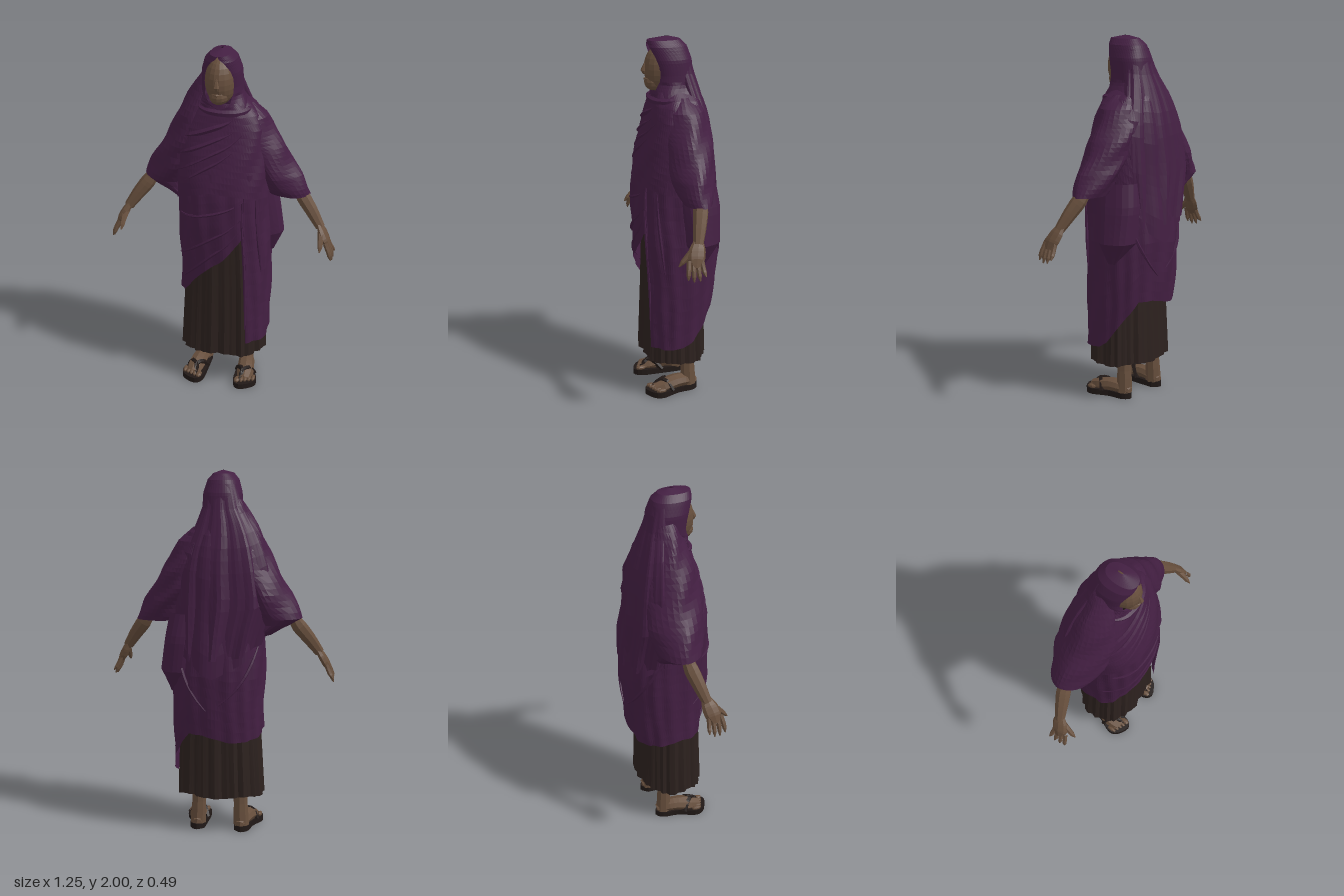
import * as THREE from 'three';

const mat = (name, color, side = THREE.FrontSide) => {
  const m = new THREE.MeshStandardMaterial({ color, side, flatShading: true });
  m.name = name;
  return m;
};

// Linear lookup in a table whose first column ascends
function lookup(rows, t) {
  if (t <= rows[0][0]) return rows[0].slice(1);
  for (let i = 1; i < rows.length; i++) {
    if (t <= rows[i][0]) {
      const a = rows[i - 1], b = rows[i], k = (t - a[0]) / (b[0] - a[0]);
      return a.slice(1).map((v, j) => v + (b[j + 1] - v) * k);
    }
  }
  return rows[rows.length - 1].slice(1);
}

// Point on a cloth profile; rows are [y, xMin, xMax, zFront, zBack], angle 0 = +x, 90 = front
function clothPoint(rows, y, deg, grow = 0, power = 0.85) {
  const [x0, x1, zf, zb] = lookup(rows, y), a = deg * Math.PI / 180;
  const p = (v) => Math.sign(v) * Math.abs(v) ** power;
  return new THREE.Vector3(
    (x0 + x1) / 2 + ((x1 - x0) / 2 + grow) * p(Math.cos(a)), y,
    (zf + zb) / 2 + ((zf - zb) / 2 + grow) * p(Math.sin(a)));
}

// Draped sheet: hem(deg) is its lower edge, fold(deg, y) pushes it outwards, gap(y) opens the front
function drape(rows, { top, hem, fold = () => 0, gap = () => 0, nu = 72, nv = 14, power }) {
  const pos = [], idx = [];
  for (let i = 0; i <= nv; i++) {
    for (let j = 0; j <= nu; j++) {
      const d0 = (j / nu) * 360, g = gap(top + (hem(d0) - top) * (i / nv));
      const deg = (90 + g + (j / nu) * (360 - 2 * g)) % 360;
      const y = top + (hem(deg) - top) * (i / nv);
      pos.push(...clothPoint(rows, y, deg, fold(deg, y), power).toArray());
      if (i < nv && j < nu) {
        const a = i * (nu + 1) + j, b = a + nu + 1;
        idx.push(a, a + 1, b, a + 1, b + 1, b);
      }
    }
  }
  const geo = new THREE.BufferGeometry();
  geo.setAttribute('position', new THREE.Float32BufferAttribute(pos, 3));
  geo.setIndex(idx);
  geo.computeVertexNormals();
  return geo;
}

// Tapered tube along points; scale flattens its section
function limb(pts, radii, { n = 10, sides = 8, scale = [1, 1, 1] } = {}) {
  const curve = new THREE.CatmullRomCurve3(pts.map((p) => new THREE.Vector3(...p)));
  const geo = new THREE.TubeGeometry(curve, n, 1, sides);
  const pos = geo.attributes.position, v = new THREE.Vector3(), s = new THREE.Vector3(...scale);
  for (let i = 0; i < pos.count; i++) {
    const t = Math.floor(i / (sides + 1)) / n, c = curve.getPointAt(t);
    const k = t * (radii.length - 1), r0 = Math.min(Math.floor(k), radii.length - 2);
    const r = radii[r0] + (radii[r0 + 1] - radii[r0]) * (k - r0);
    v.fromBufferAttribute(pos, i).sub(c).multiply(s).multiplyScalar(r).add(c);
    pos.setXYZ(i, v.x, v.y, v.z);
  }
  geo.computeVertexNormals();
  return geo;
}

export function createModel() {
  const model = new THREE.Group();
  model.name = 'robedWoman';
  const cloth = mat('purple cloth', 0x431f42, THREE.DoubleSide);
  const skirtMat = mat('dark skirt', 0x2c211e, THREE.DoubleSide);
  const skin = mat('skin', 0x664e3c);
  const leather = mat('sandal leather', 0x211917);
  const add = (name, geo, material, parent = model) => {
    const m = new THREE.Mesh(geo, material);
    m.name = name;
    parent.add(m);
    return m;
  };
  const wave = (deg, k, shift = 0) => Math.sin(deg * Math.PI / 180 * k + shift);

  // Skirt with uneven pleats
  const skirt = [[0.2, -0.236, 0.247, 0.195, -0.15], [0.6, -0.215, 0.235, 0.185, -0.14], [1.1, -0.19, 0.2, 0.17, -0.13]];
  add('skirt', drape(skirt, {
    top: 1.1, hem: (d) => 0.21 + 0.006 * wave(d, 5), nu: 112, nv: 6,
    fold: (d, y) => (0.005 * wave(d, 19) + 0.004 * wave(d, 31)) * (1.2 - y) + 0.004 * wave(d, 8),
  }), skirtMat);

  // Lower wrap with a diagonal front edge and a long panel on the left
  const body = [
    [0.3, -0.235, 0.262, 0.205, -0.15], [0.55, -0.235, 0.262, 0.21, -0.2], [0.7, -0.235, 0.262, 0.215, -0.215],
    [0.9, -0.24, 0.258, 0.228, -0.228], [1.05, -0.24, 0.25, 0.234, -0.222], [1.2, -0.24, 0.25, 0.228, -0.2],
    [1.3, -0.25, 0.255, 0.214, -0.19], [1.45, -0.25, 0.25, 0.182, -0.182], [1.58, -0.22, 0.225, 0.148, -0.16],
    [1.66, -0.17, 0.18, 0.13, -0.135], [1.72, -0.1, 0.11, 0.115, -0.105]];
  const wrapHem = [[0, 0.31], [57, 0.3], [60, 0.98], [90, 0.82], [145, 0.58], [180, 0.57], [225, 0.54],
    [255, 0.54], [280, 0.58], [300, 0.58], [325, 0.46], [345, 0.35], [360, 0.31]];
  add('lowerWrap', drape(body, {
    top: 1.35, hem: (d) => lookup(wrapHem, d)[0], nu: 120,
    fold: (d, y) => 0.005 * wave(d, 9, y * 14) + 0.003 * wave(d, 17, -y * 5),
  }), cloth);

  // Upper shawl over chest and back, with deep vertical folds behind
  const shawlHem = [[0, 1.18], [60, 1.23], [95, 1.25], [150, 1.17], [180, 1.1], [230, 1.0], [270, 0.9], [310, 1.02], [360, 1.18]];
  add('shawl', drape(body, {
    top: 1.72, hem: (d) => lookup(shawlHem, d)[0], nu: 96,
    fold: (d, y) => 0.007 + (d > 200 && d < 300 ? 0.011 * wave(d, 8, 0.6) : 0.004 * wave(d, 8, y * 26)),
  }), cloth);

  // Wide sleeves with pointed sections, sloping differently on the two sides
  const sleeves = {
    leftSleeve: [[1.185, 0.24, 0.474, 0.06, -0.095], [1.22, 0.2, 0.462, 0.08, -0.11], [1.3, 0.15, 0.425, 0.1, -0.13],
      [1.38, 0.1, 0.37, 0.105, -0.145], [1.46, 0.07, 0.33, 0.11, -0.15], [1.54, 0.05, 0.277, 0.11, -0.145],
      [1.63, 0.0, 0.235, 0.1, -0.125], [1.695, 0.0, 0.15, 0.06, -0.09]],
    rightSleeve: [[1.12, -0.28, -0.16, 0.07, -0.13], [1.18, -0.385, -0.16, 0.08, -0.14], [1.205, -0.463, -0.16, 0.085, -0.15],
      [1.24, -0.45, -0.14, 0.1, -0.16], [1.34, -0.4, -0.1, 0.13, -0.18], [1.47, -0.32, -0.05, 0.14, -0.175],
      [1.61, -0.257, -0.03, 0.12, -0.145], [1.7, -0.21, -0.02, 0.09, -0.115], [1.85, -0.12, -0.02, 0.04, -0.07]],
  };
  for (const [name, rows] of Object.entries(sleeves)) {
    add(name, drape(rows, {
      top: rows[rows.length - 1][0], hem: () => rows[0][0], nu: 32, nv: 22, power: 1.25,
      fold: (d, y) => 0.005 * wave(d, 4, y * 30),
    }), cloth);
  }

  // Veil running from the hood down the back and right shoulder
  const veil = [[1.0, -0.21, 0.19, 0, -0.228], [1.15, -0.25, 0.2, 0, -0.222], [1.3, -0.3, 0.21, 0, -0.212],
    [1.5, -0.265, 0.2, 0, -0.192], [1.6, -0.235, 0.17, 0, -0.172], [1.7, -0.19, 0.13, 0, -0.142],
    [1.8, -0.125, 0.095, 0.02, -0.108], [1.93, -0.085, 0.072, 0.03, -0.072]];
  add('veil', drape(veil, {
    top: 1.93, hem: (d) => 1.1 + 0.1 * wave(d, 1), nu: 72, nv: 14, power: 1,
    fold: (d, y) => (1.95 - y) * (0.016 * wave(d, 8, 0.6) + 0.008 * wave(d, 17, y * 2)),
  }), cloth);

  // Loose cloth hanging below the left sleeve
  const hang = [[0.8, 0.23, 0.265, -0.04, -0.1], [0.92, 0.1, 0.322, 0.03, -0.19], [1.1, 0.08, 0.3, 0.06, -0.2], [1.24, 0.06, 0.275, 0.08, -0.18]];
  add('hangingDrape', drape(hang, { top: 1.24, hem: () => 0.8, nu: 24, nv: 11, power: 1.1, fold: (d) => 0.004 * wave(d, 5) }), cloth);

  // Raised folds following the cloth: [start angle, start y, end angle, end y, radius]
  const folds = [
    [58, 1.67, 172, 1.5, 0.016], [55, 1.63, 165, 1.4, 0.014], [62, 1.56, 160, 1.31, 0.012], [75, 1.47, 155, 1.25, 0.01],
    [60, 1.2, 150, 1.08, 0.009], [62, 1.1, 160, 0.8, 0.009], [66, 1.02, 150, 0.66, 0.009], [38, 1.2, 30, 0.75, 0.009],
    [60, 1.2, 58, 0.4, 0.008], [200, 1.1, 265, 0.75, 0.009], [330, 1.1, 275, 0.72, 0.009]];
  for (const [a0, y0, a1, y1, r] of folds) {
    const pts = [];
    for (let i = 0; i <= 6; i++) {
      const t = i / 6, y = y0 + (y1 - y0) * t - 0.03 * Math.sin(t * Math.PI);
      pts.push(clothPoint(body, y, a0 + (a1 - a0) * t, 0.003).toArray());
    }
    add('clothFold', limb(pts, [0.003, r, r, 0.003], { n: 12, sides: 5 }), cloth);
  }

  // Hood with an oval face opening
  const hood = [[1.64, -0.17, 0.17, 0.13, -0.135], [1.7, -0.13, 0.135, 0.132, -0.122], [1.75, -0.115, 0.105, 0.125, -0.11],
    [1.8, -0.113, 0.102, 0.12, -0.1], [1.88, -0.11, 0.1, 0.135, -0.09], [1.95, -0.088, 0.08, 0.15, -0.065],
    [1.985, -0.055, 0.05, 0.147, -0.03], [2.0, -0.004, 0.004, 0.06, 0.03]];
  const opening = [[1.69, 0], [1.715, 22], [1.77, 40], [1.85, 44], [1.91, 35], [1.95, 20], [1.975, 0]];
  add('hood', drape(hood, {
    top: 2.0, hem: () => 1.64, nu: 40, nv: 22, gap: (y) => lookup(opening, y)[0],
    fold: (d, y) => (y < 1.76 ? 0.004 * wave(d, 6, y * 40) : 0),
  }), cloth);

  // Scarf edge crossing under the chin to the left shoulder
  const scarf = [];
  for (let i = 0; i <= 9; i++) scarf.push(clothPoint(hood, 1.69 - 0.02 * Math.sin(i / 9 * Math.PI), -20 + i * 20).toArray());
  add('neckWrap', limb(scarf, [0.004, 0.018, 0.02, 0.018, 0.004], { n: 24, sides: 6 }), cloth);

  // Face
  const face = new THREE.Group();
  face.name = 'face';
  model.add(face);
  const head = add('head', new THREE.SphereGeometry(1, 18, 14), skin, face);
  head.scale.set(0.082, 0.132, 0.1);
  head.position.set(-0.004, 1.832, 0.065);
  const jaw = add('chin', new THREE.SphereGeometry(1, 12, 8), skin, face);
  jaw.scale.set(0.052, 0.05, 0.055);
  jaw.position.set(-0.004, 1.762, 0.11);
  add('nose', limb([[-0.004, 1.87, 0.155], [-0.004, 1.835, 0.165], [-0.004, 1.815, 0.168], [-0.004, 1.803, 0.156]],
    [0.005, 0.011, 0.016, 0.004], { n: 6, sides: 6 }), skin, face);
  add('lips', limb([[-0.026, 1.778, 0.148], [-0.004, 1.779, 0.163], [0.018, 1.778, 0.148]], [0.002, 0.007, 0.002], { n: 6, sides: 6 }), skin, face);

  // Arms, hands, legs and sandals on both sides
  for (const s of [1, -1]) {
    const side = s > 0 ? 'left' : 'right';
    const m = (pts) => pts.map(([x, y, z]) => [s * x, y, z]);
    const arm = new THREE.Group();
    arm.name = side + 'Arm';
    model.add(arm);
    add('forearm', limb(m([[0.395, 1.235, -0.025], [0.425, 1.18, -0.015], [0.485, 1.1, 0.01], [0.54, 1.02, 0.035]]),
      [0.03, 0.042, 0.036, 0.027]), skin, arm);
    add('palm', limb(m([[0.53, 1.04, 0.03], [0.555, 0.995, 0.045], [0.588, 0.935, 0.06], [0.596, 0.92, 0.062]]),
      [0.024, 0.04, 0.042, 0.02], { scale: [0.55, 0.6, 1.15] }), skin, arm);
    for (let i = 0; i < 4; i++) {
      const z = 0.028 + i * 0.022, tip = [0.875, 0.853, 0.85, 0.862][i];
      add('finger', limb(m([[0.578, 0.955, z], [0.6, 0.905, z - 0.005 + i * 0.005], [0.622 - 0.003 * i, tip, z - 0.012 + i * 0.009]]),
        [0.014, 0.013, 0.013, 0.012, 0.003], { n: 8, sides: 6 }), skin, arm);
    }
    add('thumb', limb(m([[0.55, 1.0, 0.06], [0.553, 0.965, 0.1], [0.556, 0.92, 0.143]]),
      [0.02, 0.018, 0.015, 0.013, 0.003], { n: 8, sides: 6 }), skin, arm);

    const leg = new THREE.Group();
    leg.name = side + 'Leg';
    model.add(leg);
    add('shin', limb(m([[0.115, 0.45, -0.03], [0.116, 0.25, -0.036], [0.12, 0.13, -0.042], [0.124, 0.03, -0.045]]),
      [0.056, 0.047, 0.039, 0.044]), skin, leg);
    add('foot', limb(m([[0.122, 0.042, -0.085], [0.125, 0.052, -0.05], [0.138, 0.06, 0.03], [0.148, 0.043, 0.11], [0.152, 0.034, 0.16]]),
      [0.024, 0.044, 0.047, 0.05, 0.036], { scale: [1, 0.8, 1] }), skin, leg);
    for (let i = 0; i < 5; i++) {
      const toe = add('toe', new THREE.SphereGeometry(1, 7, 5), skin, leg);
      toe.scale.set(i ? 0.012 : 0.017, 0.013, 0.03);
      toe.position.set(s * (0.113 + i * 0.021 + (i ? 0.004 : 0)), 0.038, 0.17 - i * 0.009);
    }
    // Sole outline, laid flat
    const outline = m([[0.085, -0.06, 0], [0.125, -0.095, 0], [0.165, -0.06, 0], [0.178, 0.03, 0], [0.217, 0.12, 0],
      [0.2, 0.175, 0], [0.13, 0.21, 0], [0.09, 0.17, 0], [0.085, 0.06, 0]]).map(([x, z]) => new THREE.Vector2(x, -z));
    const sole = new THREE.Shape(new THREE.SplineCurve([...outline, outline[0]]).getPoints(27).slice(0, -1));
    const geo = new THREE.ExtrudeGeometry(sole, { depth: 0.032, bevelEnabled: false });
    geo.rotateX(-Math.PI / 2);
    add('sandalSole', geo, leather, leg);
    for (const [x, z] of [[0.085, 0.05], [0.196, 0.065]]) {
      add('sandalStrap', limb(m([[x, 0.025, z], [(x + 0.14) / 2, 0.07, 0.09], [0.137, 0.074, 0.125], [0.128, 0.035, 0.175]]),
        [0.012, 0.016, 0.014, 0.006], { n: 8, sides: 5 }), leather, leg);
    }
  }
  return model;
}
